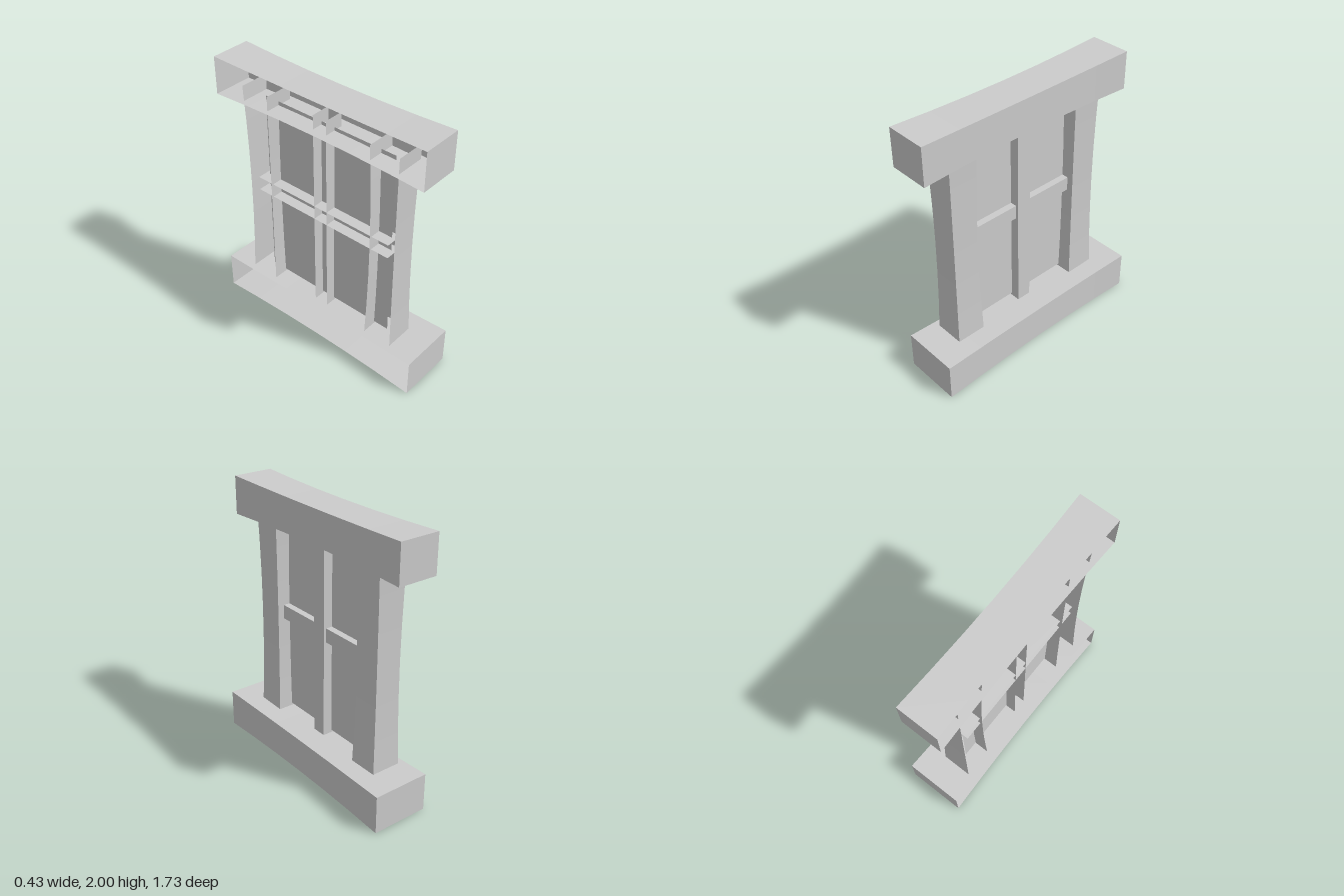
import * as THREE from 'three';

const material = new THREE.MeshStandardMaterial({
  color: 0xcccccc, flatShading: true, side: THREE.DoubleSide,
});

// Box between two corners, without the listed faces (0..5 = +x -x +y -y +z -z),
// pinched by 'waist' (per axis) towards the middle of its long axis.
function beam(name, min, max, { axis = 'y', segments = 6, waist = [0, 0, 0], open = [1] } = {}) {
  const lo = new THREE.Vector3(...min);
  const size = new THREE.Vector3(...max).sub(lo);
  const seg = (a) => (a === axis ? segments : 1);
  const geo = new THREE.BoxGeometry(size.x, size.y, size.z, seg('x'), seg('y'), seg('z'));

  const index = [];
  geo.groups.forEach((g, face) => {
    if (open.includes(face)) return;
    for (let i = g.start; i < g.start + g.count; i++) index.push(geo.index.getX(i));
  });
  geo.setIndex(index);
  geo.clearGroups();

  const pos = geo.attributes.position;
  const v = new THREE.Vector3();
  for (let i = 0; i < pos.count; i++) {
    v.fromBufferAttribute(pos, i);
    const t = v[axis] / (size[axis] / 2);
    const pinch = 1 - t * t;
    ['x', 'y', 'z'].forEach((a, k) => {
      if (a !== axis) v[a] -= Math.sign(v[a]) * waist[k] * pinch;
    });
    pos.setXYZ(i, v.x, v.y, v.z);
  }
  geo.translate(lo.x + size.x / 2, lo.y + size.y / 2, lo.z + size.z / 2);
  geo.computeVertexNormals();

  const mesh = new THREE.Mesh(geo, material);
  mesh.name = name;
  return mesh;
}

export function createModel() {
  const group = new THREE.Group();
  group.name = 'window';

  // Sill and lintel: pinched troughs, open towards -x
  group.add(beam('sill', [-0.215, 0, -0.867], [0.215, 0.285, 0.867],
    { axis: 'z', waist: [0.015, 0.01, 0] }));
  group.add(beam('lintel', [-0.2, 1.72, -0.867], [0.1, 2, 0.867],
    { axis: 'z', waist: [0.014, 0.015, 0] }));

  // Side posts: open at the back, top and bottom
  for (const [name, z] of [['leftPost', 0.543], ['rightPost', -0.543]]) {
    group.add(beam(name, [-0.16, 0.27, z - 0.112], [0.063, 1.84, z + 0.112],
      { waist: [0.014, 0, 0.012], open: [1, 2, 3] }));
  }

  // Centre mullion
  group.add(beam('mullion', [-0.13, 0.27, -0.055], [0.02, 1.84, 0.055],
    { segments: 1, open: [1, 2, 3] }));

  // Cross bar, running into the posts
  group.add(beam('crossBar', [-0.13, 1.018, -0.58], [0, 1.124, 0.58],
    { axis: 'z', segments: 1, open: [1, 4, 5] }));

  // Pane
  const pane = new THREE.Mesh(new THREE.PlaneGeometry(1.1, 1.465), material);
  pane.name = 'pane';
  pane.rotation.y = Math.PI / 2;
  pane.position.set(-0.05, 0.295 + 1.465 / 2, 0);
  group.add(pane);

  return group;
}
